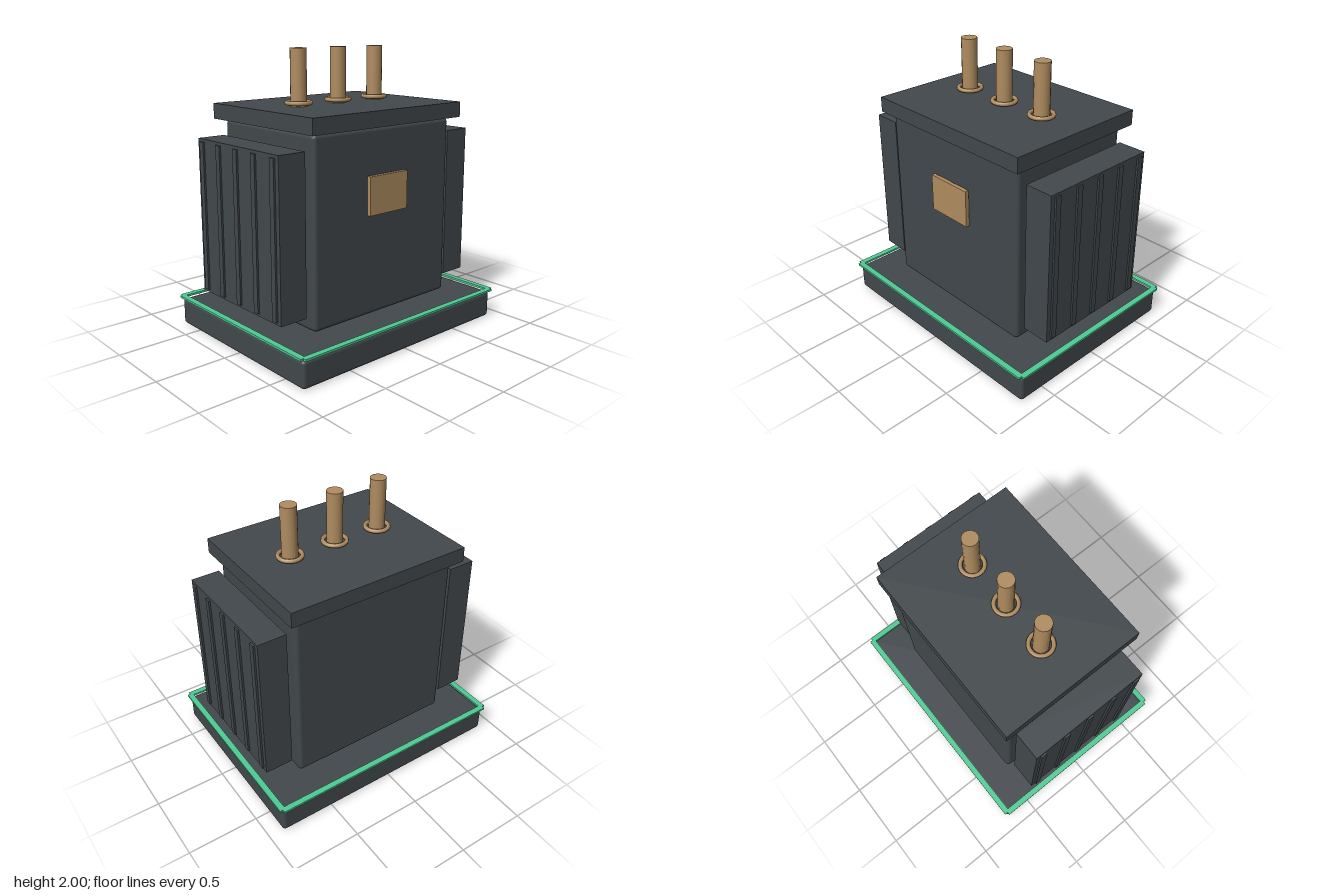
import * as THREE from 'three';
import { RoundedBoxGeometry } from 'three/addons/geometries/RoundedBoxGeometry.js';

export function createModel() {
  const model = new THREE.Group();
  model.name = 'transformer';
  const material = (name, color) => {
    const m = new THREE.MeshStandardMaterial({ color });
    m.name = name;
    return m;
  };
  const steel = material('darkSteel', 0x42484c);
  const copper = material('copper', 0xb08d60);
  const green = material('greenTrim', 0x4ecb94);

  const add = (name, geometry, mat, x, y, z, parent = model) => {
    const mesh = new THREE.Mesh(geometry, mat);
    mesh.name = name;
    mesh.position.set(x, y, z);
    parent.add(mesh);
    return mesh;
  };
  const box = (w, h, d) => new THREE.BoxGeometry(w, h, d);

  // Plinth, tank, lid and front plate
  add('base', new RoundedBoxGeometry(1.79, 0.19, 1.4, 3, 0.025), steel, 0, 0.095, 0);
  add('tank', new RoundedBoxGeometry(1.24, 1.285, 0.96, 3, 0.03), steel, 0, 0.8605, 0);
  add('lid', box(1.352, 0.108, 1.075), steel, 0, 1.561, 0);
  add('frontPlate', box(0.346, 0.264, 0.028), copper, 0, 1.055, 0.5);

  for (const side of [-1, 1]) {
    // Trim bars floating just above the plinth, overlapping at the corners
    add('trimBarLong', box(1.79, 0.015, 0.042), green, 0, 0.207, side * 0.702);
    add('trimBarShort', box(0.042, 0.015, 1.4), green, side * 0.895, 0.207, 0);

    // Side radiator with five ribs that stand proud of both faces
    const radiator = new THREE.Group();
    radiator.name = side > 0 ? 'leftRadiator' : 'rightRadiator';
    radiator.position.set(side * 0.761, 0.861, 0);
    add('radiatorPanel', box(0.204, 1.08, 0.888), steel, 0, 0, 0, radiator);
    for (let i = -2; i <= 2; i++) {
      add('radiatorRib', box(0.23, 1.04, 0.043), steel, 0, 0, i * 0.195, radiator);
    }
    model.add(radiator);
  }

  // Three terminals, each a post with a collar ring
  for (const x of [-0.35, 0, 0.35]) {
    const terminal = new THREE.Group();
    terminal.name = 'terminal';
    terminal.position.set(x, 0, 0);
    add('post', new THREE.CylinderGeometry(0.056, 0.056, 0.39, 16), copper, 0, 1.805, 0, terminal);
    const collar = add('collar', new THREE.TorusGeometry(0.081, 0.015, 8, 24), copper, 0, 1.638, 0, terminal);
    collar.rotation.x = Math.PI / 2;
    model.add(terminal);
  }
  return model;
}
